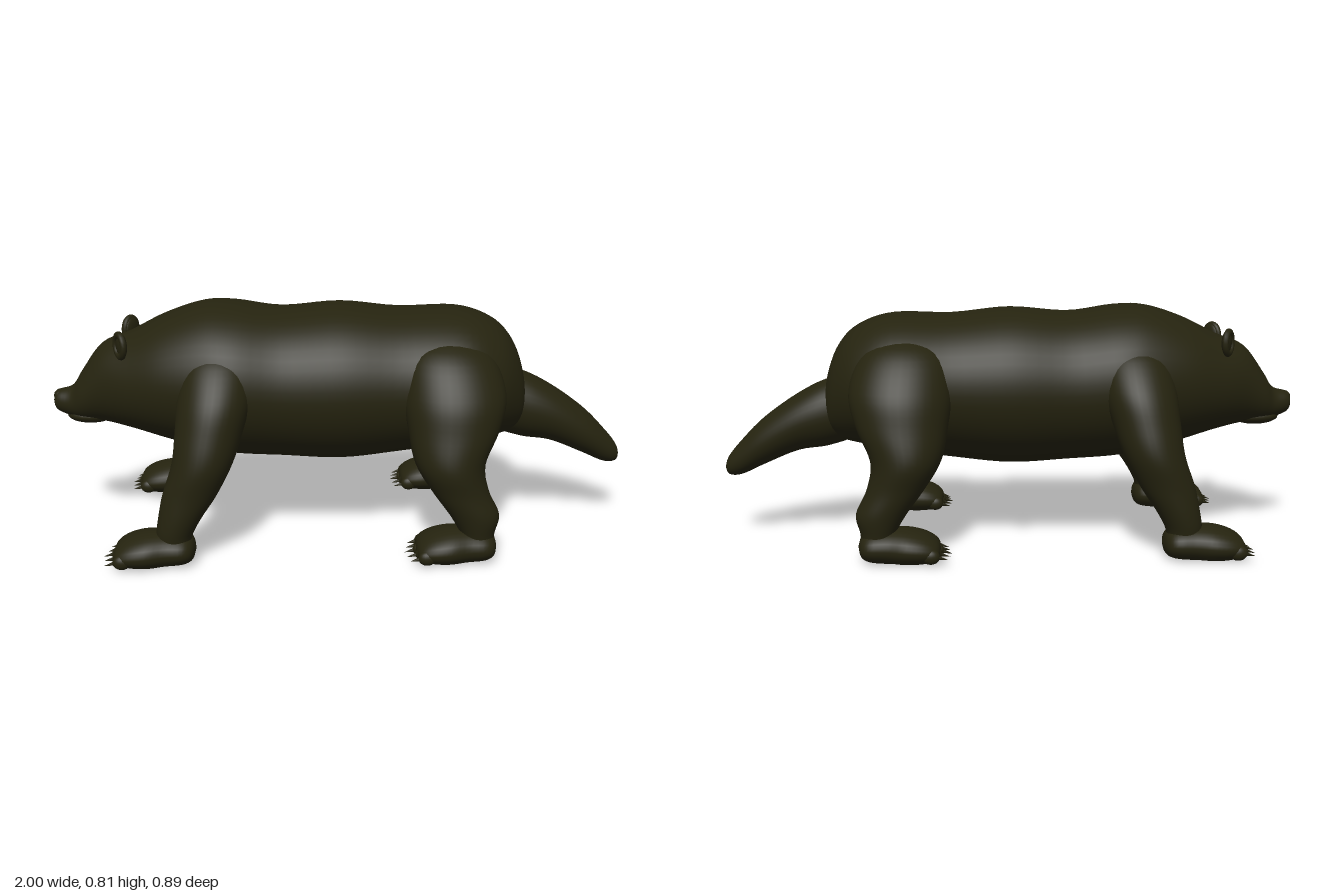
import * as THREE from 'three';

const fur = new THREE.MeshStandardMaterial({ color: 0x25230f });
fur.name = 'dark fur';

// Smooth skin over elliptical sections [x, y, z, ra, rb].
// 'x': rings in the y-z plane, rows going +x.  'y': rings in the x-z plane, rows going down.
function loft(name, rows, axis, sides = 36, steps = 5) {
  const centre = new THREE.CatmullRomCurve3(rows.map(r => new THREE.Vector3(r[0], r[1], r[2])), false, 'catmullrom');
  const radius = new THREE.CatmullRomCurve3(rows.map(r => new THREE.Vector3(r[3], r[4], 0)), false, 'catmullrom');
  const n = (rows.length - 1) * steps, pos = [], index = [];
  for (let i = 0; i <= n; i++) {
    const c = centre.getPoint(i / n), r = radius.getPoint(i / n);
    for (let j = 0; j < sides; j++) {
      const a = j / sides * Math.PI * 2;
      const u = Math.cos(a) * Math.max(r.x, 0), v = Math.sin(a) * Math.max(r.y, 0);
      if (axis === 'x') pos.push(c.x, Math.max(c.y + u, 0), c.z + v);
      else pos.push(c.x + u, c.y, c.z + v);
      if (i < n) {
        const k = (j + 1) % sides, p = i * sides, q = p + sides;
        index.push(p + j, p + k, q + j, p + k, q + k, q + j);
      }
    }
  }
  const g = new THREE.BufferGeometry();
  g.setAttribute('position', new THREE.Float32BufferAttribute(pos, 3));
  g.setIndex(index);
  g.computeVertexNormals();
  const mesh = new THREE.Mesh(g, fur);
  mesh.name = name;
  return mesh;
}

function ball(name, x, y, z, sx, sy, sz) {
  const m = new THREE.Mesh(new THREE.SphereGeometry(1, 20, 14), fur);
  m.name = name;
  m.position.set(x, y, z);
  m.scale.set(sx, sy, sz);
  return m;
}

// Broad flat-soled paw with five toes and claws, pointing to -x
function makePaw(name, x, z) {
  const paw = new THREE.Group();
  paw.name = name;
  paw.add(loft('sole', [
    [-0.2, 0.035, 0, 0, 0], [-0.19, 0.038, 0, 0.03, 0.07], [-0.15, 0.045, 0, 0.05, 0.095],
    [-0.09, 0.05, 0, 0.06, 0.1], [-0.03, 0.052, 0, 0.058, 0.085], [0.03, 0.052, 0, 0.052, 0.08],
    [0.06, 0.05, 0, 0.035, 0.055], [0.072, 0.05, 0, 0, 0],
  ], 'x', 28, 4));
  for (let i = -2; i <= 2; i++) {
    const tz = i * 0.037, back = Math.abs(i) * 0.006;
    paw.add(ball('toe', -0.178 + back, 0.033, tz, 0.03, 0.025, 0.02));
    const claw = new THREE.Mesh(new THREE.ConeGeometry(0.009, 0.042, 8), fur);
    claw.name = 'claw';
    claw.position.set(-0.215 + back, 0.027, tz);
    claw.rotation.z = Math.PI / 2 + 0.25;
    paw.add(claw);
  }
  paw.position.set(x, 0, z);
  return paw;
}

export function createModel() {
  const model = new THREE.Group();
  model.name = 'animal';

  // Head, neck and trunk in one skin
  model.add(loft('body', [
    [-1, 0.465, 0, 0, 0], [-0.985, 0.465, 0, 0.035, 0.035], [-0.93, 0.463, 0, 0.056, 0.058],
    [-0.89, 0.488, 0, 0.09, 0.088], [-0.82, 0.53, 0, 0.138, 0.125], [-0.72, 0.54, 0, 0.17, 0.185],
    [-0.6, 0.552, 0, 0.217, 0.245], [-0.47, 0.555, 0, 0.255, 0.285], [-0.36, 0.546, 0, 0.265, 0.3],
    [-0.2, 0.53, 0, 0.26, 0.285], [0, 0.532, 0, 0.272, 0.295], [0.2, 0.533, 0, 0.252, 0.282],
    [0.4, 0.548, 0, 0.238, 0.29], [0.52, 0.54, 0, 0.208, 0.24], [0.59, 0.515, 0, 0.165, 0.175],
    [0.63, 0.48, 0, 0.1, 0.105], [0.645, 0.47, 0, 0, 0],
  ], 'x', 48));

  // Lower jaw and nose
  model.add(ball('lowerJaw', -0.87, 0.415, 0, 0.085, 0.03, 0.062));
  model.add(ball('nose', -0.975, 0.482, 0, 0.023, 0.022, 0.03));

  // Tail sloping down to a blunt tip
  model.add(loft('tail', [
    [0.5, 0.47, 0, 0, 0], [0.53, 0.465, 0, 0.1, 0.1], [0.63, 0.44, 0, 0.118, 0.112],
    [0.74, 0.405, 0, 0.1, 0.106], [0.86, 0.338, 0, 0.082, 0.085], [0.94, 0.28, 0, 0.06, 0.058],
    [0.985, 0.252, 0, 0.033, 0.034], [1, 0.245, 0, 0, 0],
  ], 'x'));

  for (const [side, s] of [['left', 1], ['right', -1]]) {
    // Legs: shoulder or hip down to the ankle
    model.add(loft(side + 'FrontLeg', [
      [-0.41, 0.71, 0.16 * s, 0, 0], [-0.41, 0.66, 0.18 * s, 0.1, 0.09], [-0.42, 0.55, 0.235 * s, 0.122, 0.125],
      [-0.44, 0.44, 0.283 * s, 0.112, 0.118], [-0.463, 0.34, 0.318 * s, 0.1, 0.104],
      [-0.505, 0.24, 0.335 * s, 0.09, 0.08], [-0.54, 0.16, 0.34 * s, 0.072, 0.072],
      [-0.56, 0.1, 0.342 * s, 0.06, 0.063], [-0.56, 0.05, 0.342 * s, 0.05, 0.05], [-0.56, 0.04, 0.342 * s, 0, 0],
    ], 'y'));
    model.add(loft(side + 'HindLeg', [
      [0.36, 0.73, 0.15 * s, 0, 0], [0.36, 0.67, 0.18 * s, 0.13, 0.1], [0.37, 0.55, 0.235 * s, 0.17, 0.135],
      [0.365, 0.44, 0.28 * s, 0.152, 0.125], [0.352, 0.33, 0.312 * s, 0.116, 0.118],
      [0.385, 0.24, 0.335 * s, 0.094, 0.084], [0.432, 0.16, 0.34 * s, 0.083, 0.075],
      [0.443, 0.1, 0.342 * s, 0.06, 0.063], [0.443, 0.05, 0.342 * s, 0.05, 0.05], [0.443, 0.04, 0.342 * s, 0, 0],
    ], 'y'));
    model.add(makePaw(side + 'FrontPaw', -0.562, 0.342 * s));
    model.add(makePaw(side + 'HindPaw', 0.438, 0.342 * s));

    // Small round ears with a raised rim, facing forwards and outwards
    const ear = new THREE.Group();
    ear.name = side + 'Ear';
    ear.add(ball('earBack', 0, 0, 0, 0.036, 0.042, 0.014));
    const rim = new THREE.Mesh(new THREE.TorusGeometry(0.032, 0.011, 10, 24), fur);
    rim.name = 'earRim';
    rim.scale.y = 1.15;
    rim.position.z = 0.006;
    ear.add(rim);
    ear.position.set(-0.735, 0.688, 0.125 * s);
    ear.rotation.y = -Math.PI / 2 + 0.55 * s;
    model.add(ear);
  }
  return model;
}
